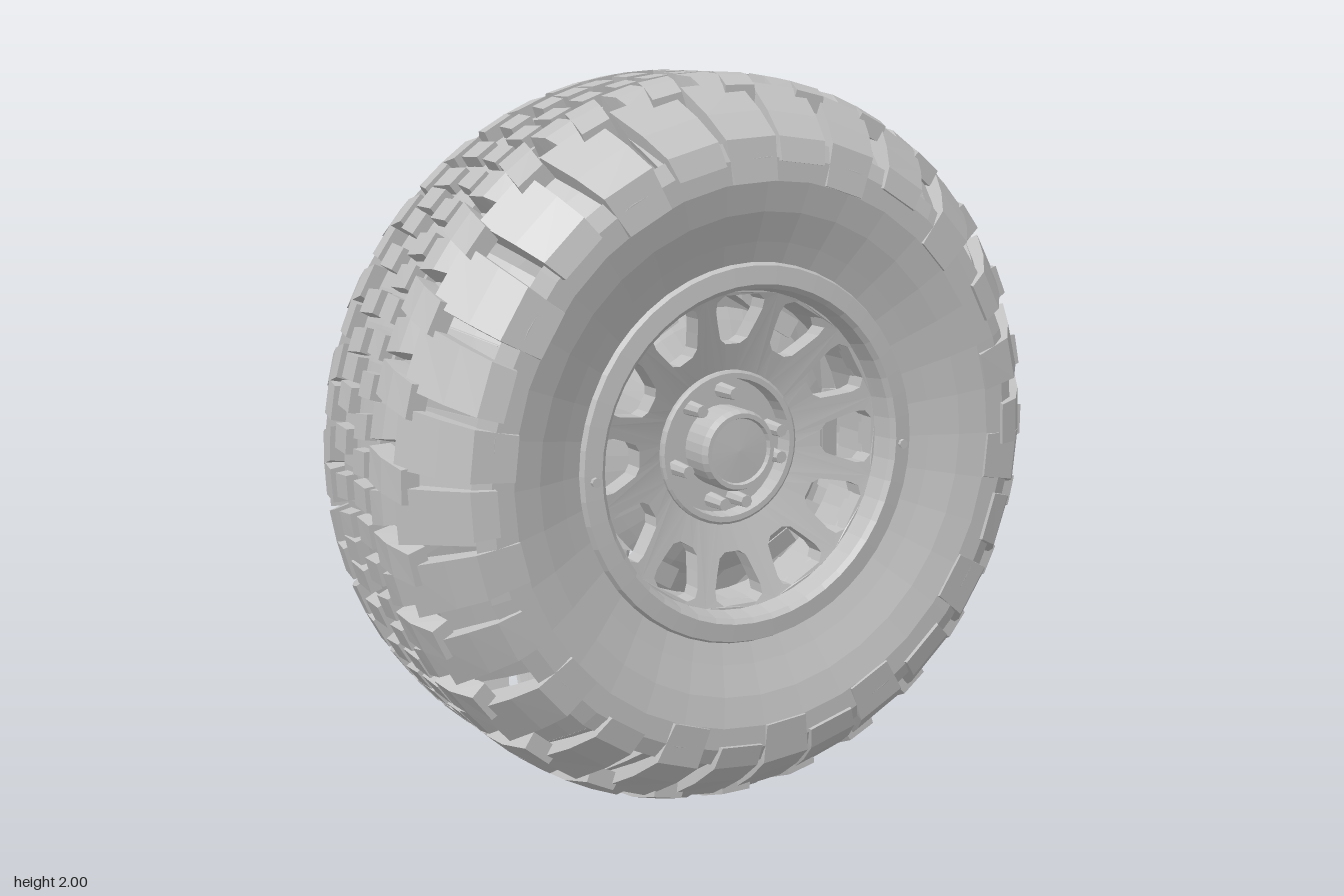
import * as THREE from 'three';
import { mergeGeometries } from 'three/addons/utils/BufferGeometryUtils.js';

const TAU = Math.PI * 2;
const grey = new THREE.MeshStandardMaterial({ color: 0xc0c0c0, flatShading: true, side: THREE.DoubleSide });
grey.name = 'grey';

function add(parent, name, geometry) {
  const mesh = new THREE.Mesh(geometry, grey);
  mesh.name = name;
  parent.add(mesh);
  return mesh;
}

// Surface of revolution about z from [radius, z] points
function turn(points, segments = 48) {
  return new THREE.LatheGeometry(points.map(p => new THREE.Vector2(p[0], p[1])), segments).rotateX(Math.PI / 2);
}

// Tread block: outer and inner [radius, z] lists swept from angle a0 to a1;
// skew leans it with z, flare widens its base
function block(outer, inner, a0, a1, skew = 0, flare = 0) {
  const n = outer.length, m = n * 2, pos = [], idx = [];
  const ring = [...outer, ...inner.slice().reverse()];
  [a0, a1].forEach((a, e) => ring.forEach(([r, z], i) => {
    const t = a + skew * (z - 0.14) + (i < n ? 0 : (e ? flare : -flare));
    pos.push(r * Math.cos(t), r * Math.sin(t), z);
  }));
  for (let i = 0; i < m; i++) {
    const j = (i + 1) % m;
    idx.push(i, i + m, j + m, i, j + m, j);
  }
  for (let i = 0; i < n - 1; i++) {
    const a = i, b = i + 1, c = m - 2 - i, d = m - 1 - i;
    idx.push(a, b, c, a, c, d, a + m, c + m, b + m, a + m, d + m, c + m);
  }
  const g = new THREE.BufferGeometry();
  g.setAttribute('position', new THREE.Float32BufferAttribute(pos, 3));
  g.setIndex(idx);
  g.computeVertexNormals();
  return g;
}

// Repeatable small variation in -1..1
const vary = i => Math.sin(i * 12.9898 + 4.1);

function centreTread(parent) {
  add(parent, 'centreBand', turn([
    [0.93, -0.122], [0.965, -0.122], [0.968, 0], [0.965, 0.122], [0.93, 0.122], [0.93, -0.122]], 64));
  const blocks = [], count = 64, pitch = TAU / count;
  for (let i = 0; i < count; i++) for (const s of [-1, 1]) {
    const a = (i + (s > 0 ? 0.25 : 0)) * pitch, z = s * 0.064;
    const w = 0.041 + 0.003 * vary(i);
    blocks.push(block([[0.998, z - w], [0.998, z + w]], [[0.955, z - w], [0.955, z + w]],
      a, a + pitch * 0.66, 0.12 * s * vary(i * 3), 0.004));
  }
  add(parent, 'centreBlocks', mergeGeometries(blocks));
}

function tyreSide(parent) {
  add(parent, 'sidewall', turn([
    [0.835, 0.388], [0.79, 0.41], [0.73, 0.411], [0.65, 0.39], [0.57, 0.357], [0.505, 0.333]], 36));
  add(parent, 'treadFloor', turn([[0.945, 0.138], [0.925, 0.245]], 56));

  const count = 28, pitch = TAU / count, lugs = [], edges = [], floors = [];
  for (let i = 0; i < count; i++) {
    const a = i * pitch, low = i % 2 ? 0.73 : 0.78, lowZ = i % 2 ? 0.419 : 0.422;
    const w = 0.72 + 0.09 * vary(i);
    // outer lug wrapping over the shoulder
    lugs.push(block([[0.975, 0.237], [0.905, 0.335], [0.843, 0.402], [low, lowZ]],
      [[0.92, 0.22], [0.865, 0.31], [0.815, 0.375], [low, 0.4]], a, a + pitch * w, 0.2 * vary(i * 2), 0.006));
    // two smaller blocks beside the groove
    for (let k = 0; k < 2; k++) {
      const b = a + pitch * (0.5 * k + 0.1 + 0.04 * vary(i + k));
      const z = 0.255 + (k ? 0.015 : -0.015);
      edges.push(block([[0.999, 0.138], [0.993, 0.2], [0.968, z]], [[0.94, 0.138], [0.935, 0.2], [0.92, z]],
        b, b + pitch * 0.4, k ? 0.3 : -0.15, 0.008));
    }
    // floor between lugs, left open at every other gap
    const open = i % 2 === 0;
    floors.push(block([[0.93, 0.24], [0.875, 0.325], [0.83, 0.388]], [[0.92, 0.235], [0.865, 0.315], [0.82, 0.378]],
      a, a + pitch * (open ? 0.7 : 1.02)));
  }
  add(parent, 'shoulderLugs', mergeGeometries(lugs));
  add(parent, 'shoulderEdgeBlocks', mergeGeometries(edges));
  add(parent, 'shoulderFloor', mergeGeometries(floors));
}

// Dished disc of twelve equal sectors, each with a rounded window
function spokeDisc() {
  const half = TAU / 24, sectors = [];
  const shape = new THREE.Shape();
  shape.absarc(0, 0, 0.435, -half, half, false);
  shape.absarc(0, 0, 0.19, half, -half, true);
  shape.closePath();
  const outline = [[0.286, 0.022], [0.3, 0.042], [0.34, 0.058], [0.38, 0.072], [0.405, 0.073], [0.423, 0.052]];
  const loop = [...outline, ...outline.slice().reverse().map(([r, t]) => [r, -t])];
  shape.holes.push(new THREE.Path(loop.map(([r, t]) => new THREE.Vector2(r, t))));
  const sector = new THREE.ExtrudeGeometry(shape, { depth: 0.06, bevelEnabled: false, curveSegments: 6 });
  const p = sector.attributes.position;
  for (let i = 0; i < p.count; i++) {
    const r = Math.hypot(p.getX(i), p.getY(i));
    p.setZ(i, p.getZ(i) + 0.15 + (r - 0.2) * 0.33);
  }
  sector.computeVertexNormals();
  for (let i = 0; i < 12; i++) sectors.push(sector.clone().rotateZ(i * TAU / 12));
  return mergeGeometries(sectors);
}

function rimSide(parent) {
  add(parent, 'rim', turn([
    [0.43, 0.13], [0.43, 0.2], [0.508, 0.3], [0.515, 0.335], [0.507, 0.352], [0.458, 0.357],
    [0.445, 0.345], [0.437, 0.3], [0.425, 0.24], [0.425, 0.13]]));
  add(parent, 'spokes', spokeDisc());
  // sloping pocket floor behind the windows, wider behind every other one
  add(parent, 'pocketFloor', turn([[0.372, 0.13], [0.34, 0.15], [0.275, 0.185]]));
  const flaps = [];
  for (let i = 0; i < 6; i++) {
    const a = i * TAU / 6;
    flaps.push(block([[0.42, 0.135], [0.36, 0.15]], [[0.42, 0.13], [0.36, 0.145]], a - 0.2, a + 0.2));
  }
  add(parent, 'pocketFlaps', mergeGeometries(flaps));
  add(parent, 'hub', turn([
    [0.21, 0.14], [0.212, 0.225], [0.205, 0.23], [0.19, 0.23], [0.185, 0.18], [0, 0.18]], 40));
  add(parent, 'hubCap', turn([
    [0.112, 0.17], [0.112, 0.265], [0.104, 0.285], [0.092, 0.285], [0.088, 0.273], [0, 0.277]], 28));
  // lug nuts around the cap
  for (const deg of [14, 90, 132, 198, 258, 284, 346]) {
    const a = deg * TAU / 360;
    const nut = add(parent, 'lugNut', new THREE.CylinderGeometry(0.017, 0.022, 0.08, 8).rotateX(Math.PI / 2));
    nut.position.set(0.152 * Math.cos(a), 0.152 * Math.sin(a), 0.215);
  }
  // studs on the lip
  for (const s of [-1, 1]) {
    const stud = add(parent, 'lipStud', new THREE.CylinderGeometry(0.013, 0.013, 0.02, 8).rotateX(Math.PI / 2));
    stud.position.set(s * 0.478, -0.015, 0.356);
  }
}

export function createModel() {
  const model = new THREE.Group();
  model.name = 'wheel';
  const wheel = new THREE.Group();
  wheel.name = 'tyreAndRim';
  wheel.position.y = 1;
  model.add(wheel);
  centreTread(wheel);
  for (const s of [1, -1]) {
    const side = new THREE.Group();
    side.name = s > 0 ? 'frontSide' : 'backSide';
    side.scale.z = s;
    tyreSide(side);
    rimSide(side);
    wheel.add(side);
  }
  return model;
}
